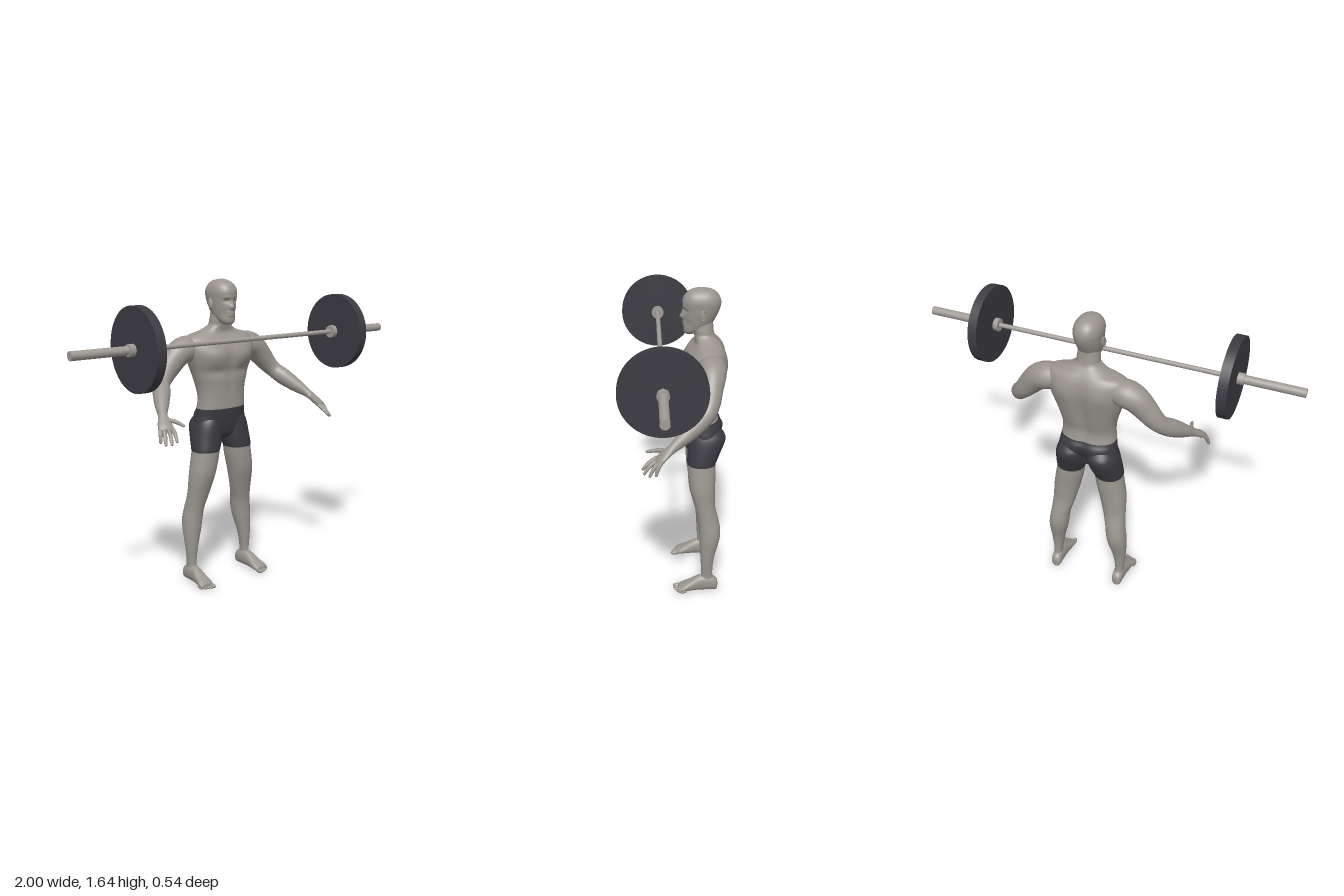
import * as THREE from 'three';

const material = (name, color, extra = {}) => Object.assign(new THREE.MeshStandardMaterial({ color, ...extra }), { name });
const skin = material('skin grey', 0x9a958e);
const fabric = material('shorts charcoal', 0x3b3a41);
const steel = material('bar steel', 0xa09b95);
const rubber = material('plate charcoal', 0x3c3b42);

const X = new THREE.Vector3(1, 0, 0), Y = new THREE.Vector3(0, 1, 0), Z = new THREE.Vector3(0, 0, 1);
const bell = (d, w) => Math.exp(-(d * d) / (w * w));

// Uniform Catmull-Rom through rows of numbers
function sample(rows, t) {
  const last = rows.length - 1, i = Math.min(Math.floor(t), last - 1), f = t - i;
  const [a, b, c, d] = [i - 1, i, i + 1, i + 2].map(k => rows[Math.min(Math.max(k, 0), last)]);
  return b.map((_, k) => 0.5 * (2 * b[k] + (c[k] - a[k]) * f
    + (2 * a[k] - 5 * b[k] + 4 * c[k] - d[k]) * f * f + (3 * b[k] - a[k] - 3 * c[k] + d[k]) * f ** 3));
}

// Closed skin over sections [x, y, z, radiusU, radiusV]; u and v follow the path unless given
function loft(rows, { u, v, n = 2, segs = 28, steps = 5, split, sculpt } = {}) {
  const pos = [], index = [], count = (rows.length - 1) * steps;
  const centre = t => new THREE.Vector3(...sample(rows, t).slice(0, 3));
  const power = c => Math.sign(c) * Math.abs(c) ** (2 / n);
  for (let i = 0; i <= count; i++) {
    const t = i / steps, s = sample(rows, t), c = centre(t);
    let a = u, b = v;
    if (!a) {
      const dir = centre(Math.min(t + 0.05, rows.length - 1)).sub(centre(Math.max(t - 0.05, 0))).normalize();
      a = dir.clone().cross(Y).normalize();
      b = dir.clone().cross(a);
    }
    for (let j = 0; j < segs; j++) {
      const w = j / segs * Math.PI * 2;
      const p = c.clone().addScaledVector(a, power(Math.cos(w)) * Math.max(s[3], 0.001))
        .addScaledVector(b, power(Math.sin(w)) * Math.max(s[4], 0.001));
      if (sculpt) sculpt(p);
      pos.push(p.x, p.y, p.z);
    }
  }
  const low = pos.length / 3, high = low + 1;
  pos.push(...rows[0].slice(0, 3), ...rows[rows.length - 1].slice(0, 3));
  for (let j = 0; j < segs; j++) index.push(low, (j + 1) % segs, j);
  let border = 0;
  for (let i = 0; i < count; i++) {
    if (i === split * steps) border = index.length;
    for (let j = 0; j < segs; j++) {
      const k = (j + 1) % segs, p = i * segs, q = p + segs;
      index.push(p + j, p + k, q + j, p + k, q + k, q + j);
    }
  }
  for (let j = 0; j < segs; j++) index.push(high, count * segs + j, count * segs + (j + 1) % segs);
  const g = new THREE.BufferGeometry();
  g.setAttribute('position', new THREE.Float32BufferAttribute(pos, 3));
  g.setIndex(index);
  if (split) {
    g.addGroup(0, border, 0);
    g.addGroup(border, index.length - border, 1);
  }
  g.computeVertexNormals();
  return g;
}

// Upright loft from [y, xMin, xMax, zFront, zBack]
const upright = (rows, options) => loft(rows.map(([y, x0, x1, f, b]) =>
  [(x0 + x1) / 2, y, (f + b) / 2, (f - b) / 2, (x1 - x0) / 2]), { u: Z, v: X, ...options });
const symmetric = rows => rows.map(([y, w, f, b]) => [y, -w, w, f, b]);

function mirrored(geometry) {
  const g = geometry.clone().scale(-1, 1, 1), a = g.index.array;
  for (let i = 0; i < a.length; i += 3) [a[i], a[i + 1]] = [a[i + 1], a[i]];
  g.computeVertexNormals();
  return g;
}

export function createModel() {
  const model = new THREE.Group();
  model.name = 'lifter with barbell';
  const add = (name, geometry, mat) => {
    const mesh = new THREE.Mesh(geometry, mat);
    mesh.name = name;
    model.add(mesh);
    return mesh;
  };
  const pair = (name, geometry, mat) => {
    add('left ' + name, geometry, mat);
    add('right ' + name, mirrored(geometry), mat);
  };

  // Torso and neck, with the waist of the shorts
  add('torso', upright(symmetric([
    [0.79, 0.04, -0.12, -0.2], [0.82, 0.135, -0.09, -0.225], [0.88, 0.158, -0.076, -0.25],
    [0.93, 0.151, -0.07, -0.252], [0.965, 0.145, -0.065, -0.234], [1.02, 0.14, -0.064, -0.226],
    [1.08, 0.147, -0.062, -0.24], [1.15, 0.168, -0.056, -0.255], [1.21, 0.19, -0.05, -0.266],
    [1.27, 0.21, -0.05, -0.27], [1.32, 0.212, -0.072, -0.262], [1.352, 0.185, -0.1, -0.247],
    [1.372, 0.115, -0.108, -0.232], [1.4, 0.064, -0.103, -0.21], [1.43, 0.056, -0.095, -0.202],
    [1.47, 0.05, -0.09, -0.198]]), {
    n: 2.3, segs: 56, split: 4, sculpt: p => {
      const ax = Math.abs(p.x);
      if (p.z > -0.15) {
        p.z += 0.014 * bell(ax - 0.085, 0.06) * bell(p.y - 1.245, 0.045);  // chest
        p.z -= 0.008 * bell(p.x, 0.016) * bell(p.y - 1.2, 0.14);           // midline
        p.z -= 0.01 * bell(ax - 0.08, 0.08) * bell(p.y - 1.165, 0.025);    // under chest
      } else {
        p.z += 0.02 * bell(p.x, 0.03) * bell(p.y - 1.15, 0.16);            // spine
        p.z -= 0.008 * bell(ax - 0.1, 0.05) * bell(p.y - 1.27, 0.06);      // shoulder blades
        p.z += 0.035 * bell(p.x, 0.03) * bell(p.y - 0.85, 0.07);           // seat cleft
      }
    }
  }), [fabric, skin]);

  // Legs, bare below and covered above
  pair('leg', upright([
    [0.03, 0.165, 0.212, -0.15, -0.222], [0.06, 0.162, 0.214, -0.135, -0.222], [0.1, 0.165, 0.211, -0.145, -0.206],
    [0.2, 0.15, 0.22, -0.14, -0.212], [0.3, 0.125, 0.225, -0.134, -0.238], [0.36, 0.115, 0.222, -0.132, -0.245],
    [0.42, 0.107, 0.213, -0.125, -0.236], [0.5, 0.085, 0.207, -0.107, -0.216], [0.6, 0.06, 0.202, -0.08, -0.215],
    [0.68, 0.042, 0.19, -0.072, -0.218], [0.735, 0.033, 0.181, -0.07, -0.218], [0.745, 0.03, 0.183, -0.068, -0.22],
    [0.8, 0.01, 0.178, -0.071, -0.243], [0.87, 0.006, 0.166, -0.075, -0.268], [0.91, 0.008, 0.148, -0.085, -0.25],
    [0.94, 0.03, 0.12, -0.11, -0.22]], {
    n: 2.15, segs: 36, split: 10
  }), [skin, fabric]);

  // Feet and toes
  pair('foot', loft([
    [0.187, 0.034, -0.234, 0.012, 0.02], [0.187, 0.038, -0.224, 0.026, 0.036], [0.187, 0.048, -0.185, 0.03, 0.046],
    [0.188, 0.046, -0.135, 0.031, 0.044], [0.19, 0.033, -0.085, 0.036, 0.031], [0.193, 0.022, -0.045, 0.042, 0.02],
    [0.194, 0.016, -0.02, 0.036, 0.013]], { u: X, v: Y, n: 2.3, segs: 24 }), skin);
  for (let i = 0; i < 5; i++) {
    const r = i ? 0.0085 : 0.012;
    pair('toe ' + (i + 1), new THREE.SphereGeometry(1, 12, 8).scale(r, r, 0.024)
      .translate(0.165 + i * 0.0155, r + 0.001, -0.014 - i * i * 0.0017), skin);
  }

  // Arms running from the shoulder to the palm
  pair('arm', loft([
    [0.13, 1.29, -0.18, 0.055, 0.055], [0.2, 1.285, -0.18, 0.072, 0.069], [0.255, 1.263, -0.178, 0.067, 0.067],
    [0.305, 1.212, -0.172, 0.055, 0.06], [0.345, 1.165, -0.165, 0.048, 0.051], [0.38, 1.125, -0.145, 0.043, 0.044],
    [0.412, 1.088, -0.1, 0.045, 0.046], [0.452, 1.043, -0.04, 0.036, 0.037], [0.485, 1.005, 0.014, 0.024, 0.024],
    [0.497, 0.985, 0.042, 0.03, 0.019], [0.51, 0.96, 0.074, 0.037, 0.016], [0.518, 0.943, 0.096, 0.031, 0.011]]), skin);

  // Fingers and thumb, each [base, knuckle, tip]
  const digits = {
    thumb: [[0.487, 0.987, 0.045], [0.462, 0.98, 0.092], [0.45, 0.967, 0.14]],
    'index finger': [[0.488, 0.955, 0.092], [0.494, 0.931, 0.131], [0.505, 0.902, 0.163]],
    'middle finger': [[0.505, 0.953, 0.087], [0.517, 0.926, 0.126], [0.529, 0.89, 0.155]],
    'ring finger': [[0.522, 0.953, 0.08], [0.536, 0.923, 0.108], [0.547, 0.884, 0.13]],
    'little finger': [[0.537, 0.955, 0.07], [0.549, 0.926, 0.09], [0.557, 0.892, 0.1]],
  };
  for (const [name, [a, b, c]] of Object.entries(digits)) {
    const tip = c.map((e, k) => e + (c[k] - b[k]) * 0.1);
    pair(name, loft([[...a, 0.011, 0.011], [...b, 0.01, 0.01], [...c, 0.007, 0.007], [...tip, 0.002, 0.002]], { segs: 10, steps: 4 }), skin);
  }

  // Head with brow, eye sockets, nose and mouth
  add('head', upright(symmetric([
    [1.408, 0.018, -0.06, -0.1], [1.422, 0.038, -0.051, -0.14], [1.455, 0.053, -0.05, -0.187],
    [1.5, 0.063, -0.05, -0.215], [1.54, 0.068, -0.048, -0.232], [1.575, 0.07, -0.044, -0.236],
    [1.607, 0.06, -0.058, -0.222], [1.63, 0.036, -0.088, -0.192], [1.64, 0.006, -0.13, -0.145]]), {
    n: 2.2, segs: 64, steps: 8, sculpt: p => {
      if (p.z < -0.13) return;
      const ax = Math.abs(p.x);
      p.z -= 0.01 * bell(ax - 0.027, 0.014) * bell(p.y - 1.53, 0.011);     // eye sockets
      p.z += 0.005 * bell(ax - 0.026, 0.02) * bell(p.y - 1.548, 0.009);    // brow
      p.z += 0.02 * bell(p.x, 0.011) * bell(p.y - 1.497, 0.013);           // nose tip
      p.z += 0.009 * bell(p.x, 0.008) * bell(p.y - 1.52, 0.016);           // nose bridge
      p.z += 0.006 * bell(p.x, 0.022) * (bell(p.y - 1.469, 0.005) + bell(p.y - 1.456, 0.005)); // lips
      p.z -= 0.006 * bell(ax - 0.04, 0.014) * bell(p.y - 1.465, 0.02);     // cheeks
    }
  }), skin);

  // Ears: a flat shell with a raised rim
  pair('ear', new THREE.SphereGeometry(1, 16, 12).scale(0.008, 0.027, 0.015).rotateX(-0.15).translate(0.069, 1.513, -0.14), skin);
  pair('ear rim', new THREE.TorusGeometry(0.017, 0.004, 8, 20).scale(0.75, 1.4, 1).rotateY(Math.PI / 2 + 0.3)
    .rotateX(-0.15).translate(0.074, 1.515, -0.142), skin);

  // Barbell: shaft, sleeves, collars and plates
  const rod = (name, radius, x0, x1, mat, sides = 24) =>
    add(name, new THREE.CylinderGeometry(radius, radius, x1 - x0, sides).rotateZ(Math.PI / 2)
      .translate((x0 + x1) / 2, 1.342, 0.068), mat);
  rod('bar shaft', 0.012, -0.62, 0.62, steel);
  for (const [side, s] of [['left', 1], ['right', -1]]) {
    const piece = (name, r, a, b, mat, sides) =>
      rod(`${side} ${name}`, r, Math.min(a * s, b * s), Math.max(a * s, b * s), mat, sides);
    piece('sleeve', 0.022, 0.61, 1, steel);
    piece('inner collar', 0.034, 0.6, 0.627, steel, 12);
    piece('weight plate', 0.203, 0.626, 0.674, rubber, 64);
    piece('outer collar', 0.03, 0.673, 0.706, steel, 8);
  }
  return model;
}
